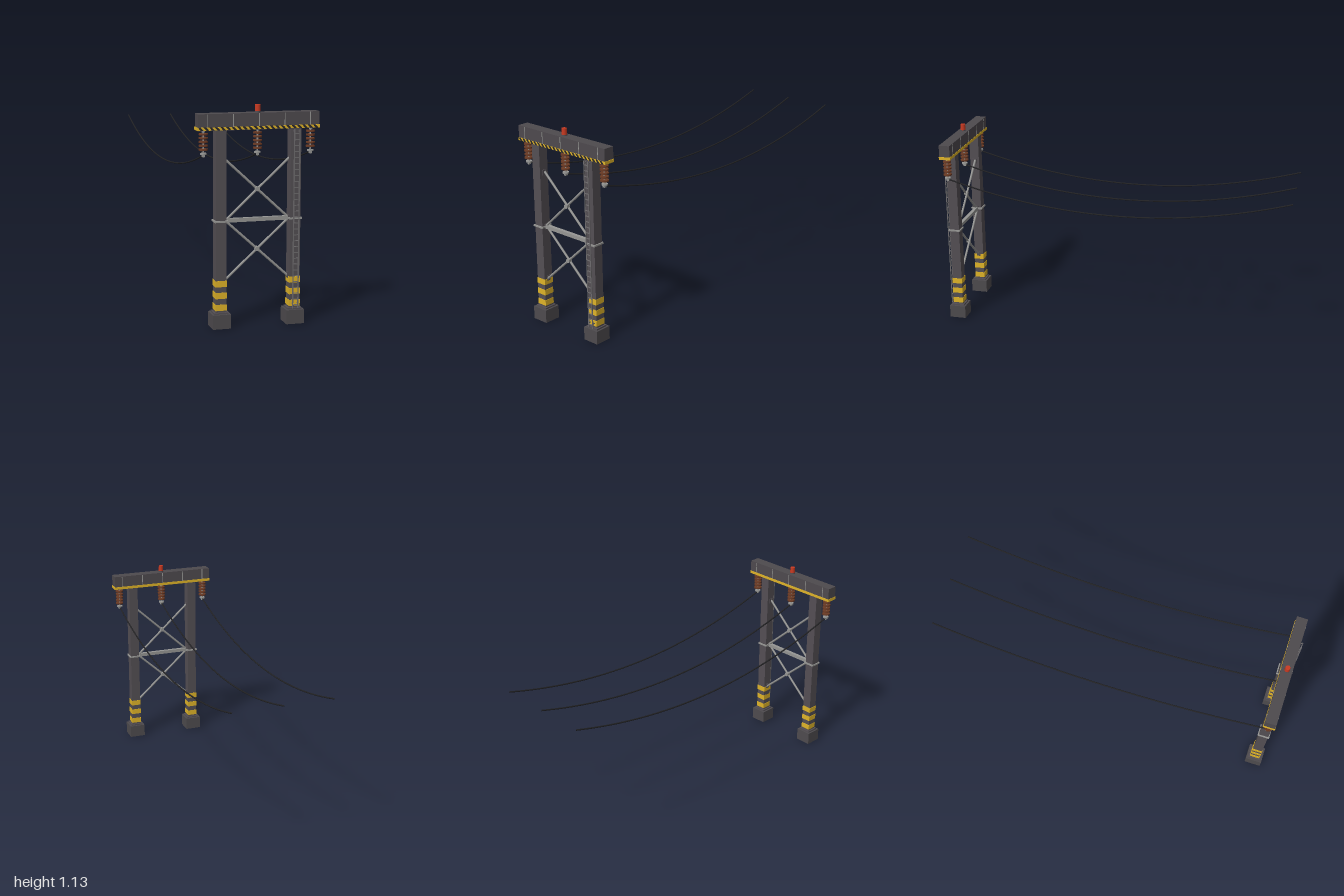
import * as THREE from 'three';

const mat = (name, color) => {
  const m = new THREE.MeshStandardMaterial({ color });
  m.name = name;
  return m;
};

export function createModel() {
  const M = {
    steel: mat('dark steel', 0x544f54),
    beam: mat('beam steel', 0x4e4a4e),
    concrete: mat('concrete', 0x4e4b4e),
    grey: mat('galvanised grey', 0x969694),
    ladder: mat('ladder grey', 0x6e6c6e),
    yellow: mat('hazard yellow', 0xe0b428),
    black: mat('stripe black', 0x2a282a),
    brown: mat('insulator brown', 0x6b3a24),
    red: mat('lamp red', 0xc83a22),
    cable: mat('cable black', 0x222224),
  };
  const model = new THREE.Group();
  model.name = 'powerLineGantry';
  const gantry = new THREE.Group();
  gantry.name = 'gantry';
  gantry.position.z = 0.952;
  model.add(gantry);

  const add = (name, geo, m, x = 0, y = 0, z = 0, parent = gantry) => {
    const mesh = new THREE.Mesh(geo, m);
    mesh.name = name;
    mesh.position.set(x, y, z);
    parent.add(mesh);
    return mesh;
  };
  const box = (name, m, w, h, d, x, y, z = 0) => add(name, new THREE.BoxGeometry(w, h, d), m, x, y, z);
  const cyl = (name, m, r1, r2, h, x, y, z = 0, n = 12) =>
    add(name, new THREE.CylinderGeometry(r1, r2, h, n), m, x, y, z);
  // Round bar between two points
  const bar = (name, m, a, b, r) => {
    const d = b.clone().sub(a);
    const mesh = cyl(name, m, r, r, d.length(), (a.x + b.x) / 2, (a.y + b.y) / 2, (a.z + b.z) / 2, 8);
    mesh.quaternion.setFromUnitVectors(new THREE.Vector3(0, 1, 0), d.normalize());
    return mesh;
  };

  // Footings, columns, hazard bands and collars
  for (const s of [-1, 1]) {
    const x = s * 0.195;
    box('footing', M.concrete, 0.095, 0.074, 0.095, x, 0.037);
    box('basePlate', M.steel, 0.074, 0.008, 0.074, x, 0.078);
    box('column', M.steel, 0.055, 0.94, 0.055, x, 0.545);
    for (const y of [0.107, 0.169, 0.23]) box('hazardBand', M.yellow, 0.059, 0.032, 0.059, x, y);
    box('collar', M.grey, 0.068, 0.009, 0.068, x, 0.55);
    for (const y of [0.25, 0.55, 0.855]) box('bracePlate', M.steel, 0.008, 0.03, 0.022, s * 0.167, y);
  }

  // Cross bracing in two bays with a tie between
  box('tieBeam', M.grey, 0.336, 0.02, 0.02, 0, 0.55);
  for (const [y0, y1] of [[0.245, 0.55], [0.55, 0.86]]) {
    for (const s of [-1, 1]) {
      bar('brace', M.grey, new THREE.Vector3(-s * 0.168, y0, s * 0.004),
        new THREE.Vector3(s * 0.168, y1, s * 0.004), 0.0065);
    }
    const hub = cyl('braceHub', M.grey, 0.012, 0.012, 0.022, 0, (y0 + y1) / 2);
    hub.rotation.x = Math.PI / 2;
  }

  // Ladder on the left column
  for (const s of [-1, 1]) {
    box('ladderRail', M.ladder, 0.005, 0.924, 0.005, 0.195 + s * 0.014, 0.544, 0.0435);
    for (const y of [0.107, 0.995]) box('ladderBracket', M.ladder, 0.004, 0.004, 0.017, 0.195 + s * 0.014, y, 0.035);
  }
  for (let i = 0; i < 30; i++) box('ladderRung', M.ladder, 0.028, 0.004, 0.004, 0.195, 0.1 + i * 0.0305, 0.0435);

  // Top beam with stiffening ribs
  box('topBeam', M.beam, 0.63, 0.08, 0.062, 0, 1.052);
  for (let i = -2; i <= 2; i++) {
    for (const s of [-1, 1]) box('beamRib', M.grey, 0.004, 0.064, 0.002, i * 0.134, 1.058, s * 0.0315);
  }

  // Yellow edging around the beam foot, dark underside, slanted stripes on the front
  box('hazardStrip', M.yellow, 0.636, 0.016, 0.066, 0, 1.018);
  box('beamUnderside', M.beam, 0.632, 0.002, 0.062, 0, 1.0095);
  const slant = new THREE.Shape([[0.004, -0.008], [0.018, -0.008], [0.004, 0.008], [-0.01, 0.008]]
    .map(([x, y]) => new THREE.Vector2(x, y)));
  const stripe = new THREE.ExtrudeGeometry(slant, { depth: 0.001, bevelEnabled: false });
  for (let i = 0; i < 22; i++) add('hazardStripe', stripe, M.black, -0.305 + i * 0.0284, 1.018, 0.033);

  // Warning lamp
  cyl('lampBase', M.steel, 0.015, 0.015, 0.006, 0, 1.095);
  cyl('lamp', M.red, 0.0135, 0.015, 0.033, 0, 1.1145);

  // Insulator strings and sagging cables
  for (const x of [-0.28, 0, 0.28]) {
    cyl('insulatorHanger', M.grey, 0.009, 0.009, 0.008, x, 1.004);
    cyl('insulatorRod', M.grey, 0.004, 0.004, 0.13, x, 0.945);
    for (let i = 0; i < 5; i++) cyl('insulatorDisc', M.brown, 0.023, 0.023, 0.008, x, 0.99 - i * 0.0192, 0, 16);
    cyl('clampPlate', M.grey, 0.017, 0.017, 0.008, x, 0.892);
    box('cableClamp', M.grey, 0.012, 0.014, 0.016, x, 0.883);

    const pts = [];
    for (let i = 0; i <= 16; i++) {
      const t = i / 8 - 1;
      pts.push(new THREE.Vector3(x, 0.74 + 0.145 * t * t, -0.024 - t * 0.975));
    }
    const curve = new THREE.CatmullRomCurve3(pts);
    add('cable', new THREE.TubeGeometry(curve, 40, 0.0042, 8), M.cable, 0, 0, 0, model);
  }
  return model;
}
